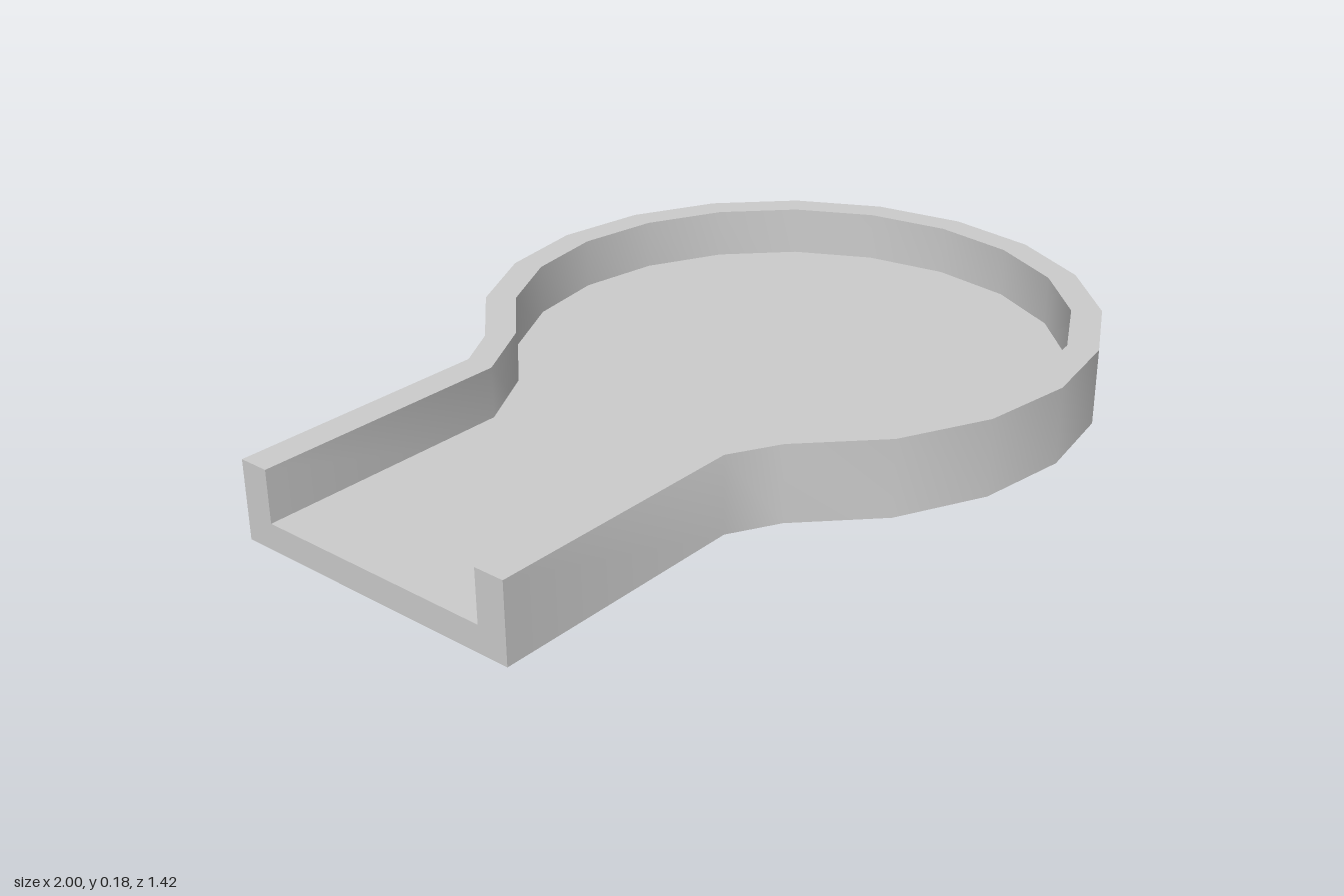
import * as THREE from 'three';
import { toCreasedNormals } from 'three/addons/utils/BufferGeometryUtils.js';

const HEIGHT = 0.178, FLOOR = 0.06, CENTER_X = 0.29;

// Keyhole outline: straight channel opening into a 20-sided round basin.
function outline(radius, halfWidth) {
  const half = [[-1, halfWidth], [-0.395, halfWidth]];
  for (let i = 8; i >= 1; i--) {
    const a = (i * Math.PI) / 10;
    half.push([CENTER_X + radius * Math.cos(a), radius * Math.sin(a)]);
  }
  const mirrored = half.map(([x, y]) => [x, -y]).reverse();
  return [...half, [CENTER_X + radius, 0], ...mirrored].map(([x, y]) => new THREE.Vector2(x, y));
}

// Extrudes an outline upward from the ground.
function slab(name, points, height, material) {
  const geometry = new THREE.ExtrudeGeometry(new THREE.Shape(points), { depth: height, bevelEnabled: false });
  geometry.rotateX(-Math.PI / 2);
  const mesh = new THREE.Mesh(toCreasedNormals(geometry, 0.6), material);
  mesh.name = name;
  return mesh;
}

export function createModel() {
  const group = new THREE.Group();
  group.name = 'keyholeTray';
  const material = new THREE.MeshStandardMaterial({ color: 0xcccccc });
  const outer = outline(0.71, 0.355);
  const inner = outline(0.64, 0.285);

  // Rim wall, left open at the channel end
  group.add(slab('rimWall', [...outer, ...inner.slice().reverse()], HEIGHT, material));
  // Thin floor filling the inside
  group.add(slab('floor', inner, FLOOR, material));
  return group;
}
